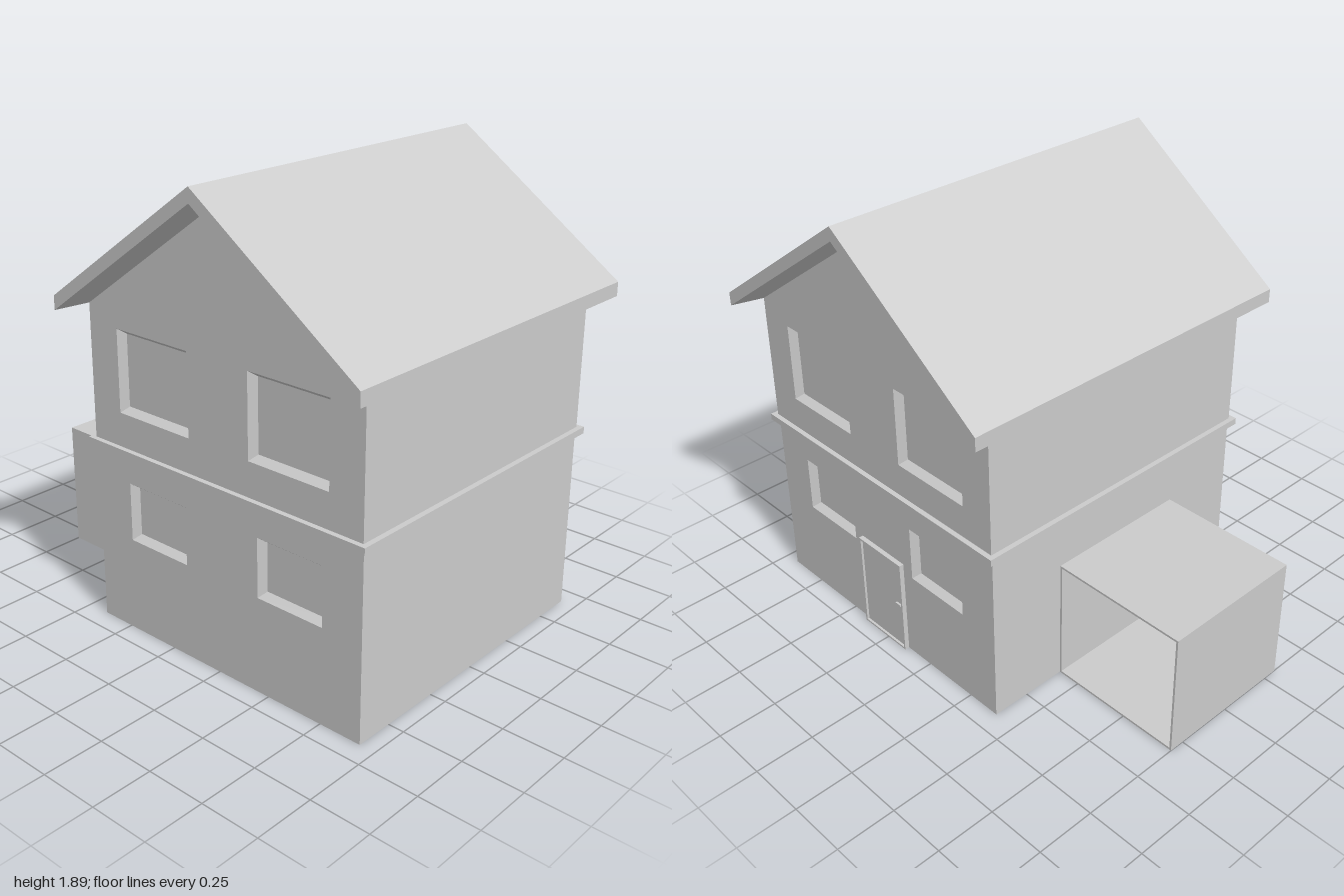
import * as THREE from 'three';

const material = new THREE.MeshStandardMaterial({ color: 0xcccccc, flatShading: true, side: THREE.DoubleSide });
const MID = 0.267; // z of the ridge

function add(parent, name, geometry) {
  const mesh = new THREE.Mesh(geometry, material);
  mesh.name = name;
  parent.add(mesh);
  return mesh;
}

// box given by its lower and upper corners
function box(parent, name, a, b) {
  const s = a.map((v, i) => b[i] - v);
  const mesh = add(parent, name, new THREE.BoxGeometry(...s));
  mesh.position.set(...a.map((v, i) => (v + b[i]) / 2));
  return mesh;
}

// flat-shaded surface from four-cornered faces
function quads(list) {
  const pos = [];
  for (const [a, b, c, d] of list) pos.push(...a, ...b, ...c, ...a, ...c, ...d);
  const g = new THREE.BufferGeometry();
  g.setAttribute('position', new THREE.Float32BufferAttribute(pos, 3));
  g.computeVertexNormals();
  return g;
}

// corners of a rectangle at a given x, shrunk by an inset
const rect = (x, [z0, z1, y0, y1], inset = 0) => [
  [x, y0 + inset, z1 - inset], [x, y0 + inset, z0 + inset],
  [x, y1 - inset, z0 + inset], [x, y1 - inset, z1 - inset],
];

// one floor: a (z, y) outline swept along x, with recessed windows at both ends
function storey(parent, name, outline, halfX, windows) {
  const group = new THREE.Group();
  group.name = name;
  parent.add(group);
  const shape = new THREE.Shape(outline.map(([z, y]) => new THREE.Vector2(-z, y)));
  for (const w of windows) {
    shape.holes.push(new THREE.Path(rect(0, w).map(([, y, z]) => new THREE.Vector2(-z, y))));
  }
  const walls = new THREE.ExtrudeGeometry(shape, { depth: 2 * halfX, bevelEnabled: false });
  add(group, 'walls', walls.translate(0, 0, -halfX).rotateY(Math.PI / 2));

  for (const side of [1, -1]) {
    for (const w of windows) {
      const outer = rect(halfX, w), inner = rect(halfX - 0.03, w, 0.022);
      const faces = outer.map((p, i) => {
        const j = (i + 1) % 4;
        return [p, outer[j], inner[j], inner[i]];
      });
      faces.push(inner);
      // mirrored faces get reversed winding
      const mirrored = faces.map(f => {
        const m = f.map(([x, y, z]) => [x * side, y, z]);
        return side > 0 ? m : m.reverse();
      });
      add(group, 'window', quads(mirrored));
    }
  }
}

// slab roof with overhang and a soffit sloping back to the walls
function roof(parent) {
  const line = (x, half, eave, ridge) => [[x, eave, MID + half], [x, ridge, MID], [x, eave, MID - half]];
  const rings = [
    line(-0.667, 0.668, 1.33, 1.805),
    line(-0.78, 0.733, 1.313, 1.833),
    line(-0.78, 0.733, 1.37, 1.89),
    line(0.78, 0.733, 1.37, 1.89),
    line(0.78, 0.733, 1.313, 1.833),
    line(0.667, 0.668, 1.33, 1.805),
  ];
  const faces = [];
  for (let r = 0; r < 5; r++) {
    for (let i = 0; i < 2; i++) {
      faces.push([rings[r][i], rings[r + 1][i], rings[r + 1][i + 1], rings[r][i + 1]]);
    }
  }
  // eave edges and the soffits under them
  for (const i of [0, 2]) {
    for (const r of [0, 1]) {
      const f = [rings[r][i], rings[5 - r][i], rings[4 - r][i], rings[r + 1][i]];
      faces.push(i === 0 ? f : f.reverse());
    }
  }
  add(parent, 'roof', quads(faces));
}

export function createModel() {
  const house = new THREE.Group();
  house.name = 'house';

  // ground floor and upper floor with gables
  storey(house, 'groundFloor', [[0.933, 0], [-0.4, 0], [-0.4, 0.765], [0.933, 0.765]], 0.662,
    [[0.45, 0.755, 0.395, 0.637], [-0.22, 0.085, 0.395, 0.637]]);
  storey(house, 'upperFloor',
    [[MID + 0.668, 0.77], [MID - 0.668, 0.77], [MID - 0.668, 1.33], [MID, 1.805], [MID + 0.668, 1.33]], 0.667,
    [[0.415, 0.785, 0.925, 1.26], [-0.252, 0.118, 0.925, 1.26]]);
  box(house, 'floorBand', [-0.688, 0.757, -0.422], [0.688, 0.785, 0.957]);
  roof(house);

  // door with raised frame and handle
  const door = new THREE.Group();
  door.name = 'door';
  house.add(door);
  box(door, 'doorPanel', [0.655, 0.008, 0.145], [0.672, 0.427, 0.395]);
  for (const z of [0.138, 0.392]) box(door, 'doorJamb', [0.655, 0, z], [0.682, 0.435, z + 0.009]);
  box(door, 'doorHead', [0.655, 0.426, 0.147], [0.682, 0.435, 0.392]);
  box(door, 'doorSill', [0.655, 0, 0.147], [0.682, 0.008, 0.392]);
  box(door, 'doorHandle', [0.672, 0.215, 0.155], [0.68, 0.223, 0.185]);

  // thin-walled garage, open on one side
  const garage = new THREE.Group();
  garage.name = 'garage';
  house.add(garage);
  const t = 0.009, w = 0.315, h = 0.543;
  box(garage, 'garageFloor', [-w, 0, -1], [w, t, -0.4]);
  box(garage, 'garageCeiling', [-w, h - t, -1], [w, h, -0.4]);
  box(garage, 'garageRearWall', [-w, t, -1], [w, h - t, -1 + t]);
  box(garage, 'garageHouseWall', [-w, t, -0.4 - t], [w, h - t, -0.4]);
  box(garage, 'garageEndWall', [-w, t, -1 + t], [-w + t, h - t, -0.4 - t]);

  return house;
}
